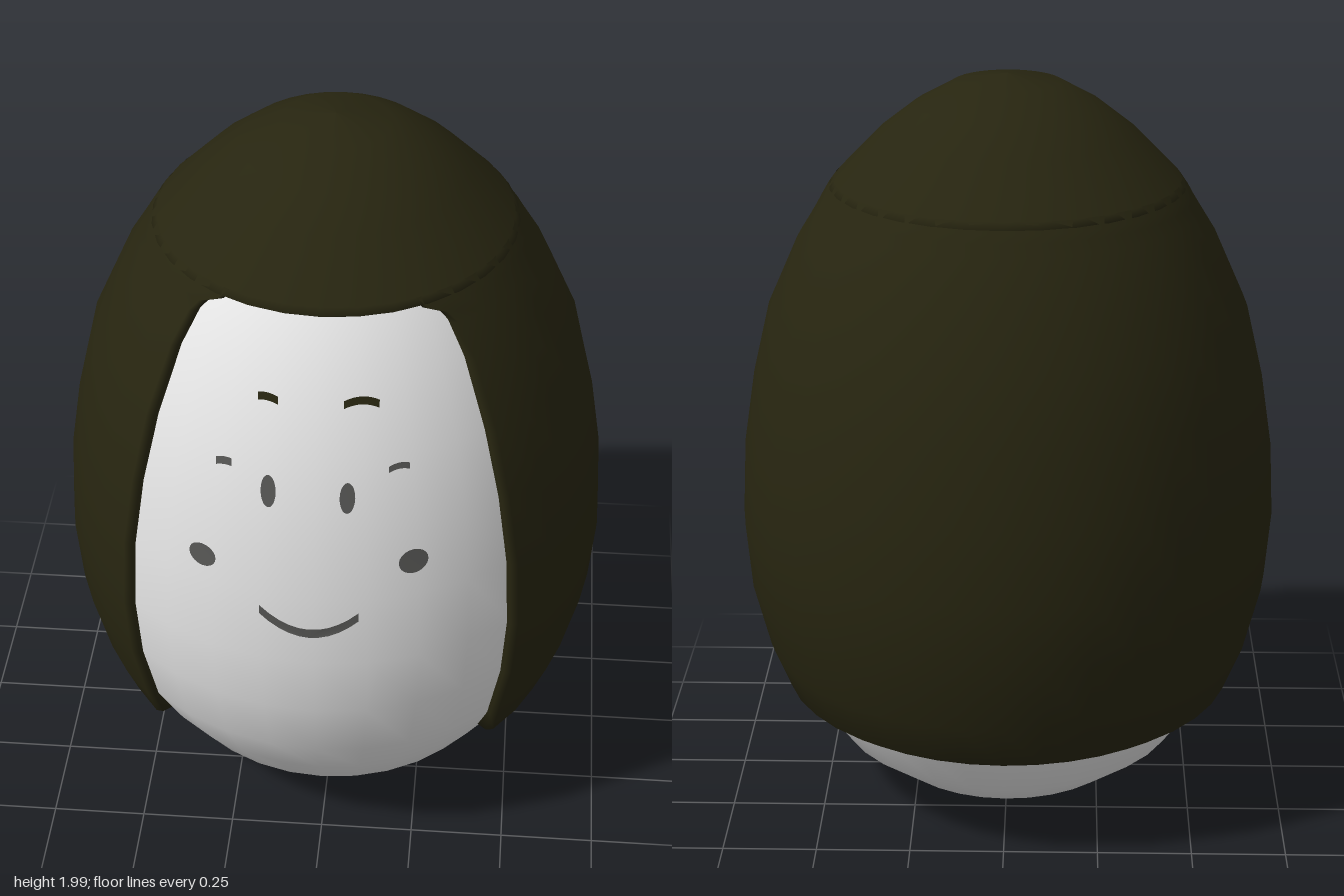
import * as THREE from 'three';

const SEG = 32;
const mat = (name, color, side = THREE.FrontSide) => {
  const m = new THREE.MeshStandardMaterial({ color, side });
  m.name = name;
  return m;
};

// [radius, height] profile of the egg body
const bodyProfile = [
  [0, 0.008], [0.175, 0.028], [0.33, 0.07], [0.465, 0.17], [0.555, 0.295], [0.637, 0.44],
  [0.682, 0.62], [0.697, 0.8], [0.687, 1.0], [0.658, 1.195], [0.61, 1.385], [0.532, 1.565],
  [0.432, 1.725], [0.31, 1.84], [0.16, 1.93], [0, 1.96],
];
// [radius, height] of the hair above the fringe
const capProfile = [
  [0.41, 1.705], [0.455, 1.7], [0.468, 1.71], [0.455, 1.727], [0.335, 1.85],
  [0.245, 1.92], [0.14, 1.978], [0, 2],
];
// [radius, height, opening angle] of the hair around the face
const sideRows = [
  [0.53, 0.302, 1.0], [0.575, 0.3, 0.99], [0.613, 0.325, 0.83], [0.66, 0.44, 0.775],
  [0.705, 0.62, 0.77], [0.72, 0.8, 0.77], [0.71, 1.0, 0.765], [0.68, 1.195, 0.75],
  [0.635, 1.385, 0.73], [0.555, 1.565, 0.715], [0.503, 1.65, 0.69], [0.486, 1.68, 0.65],
  [0.474, 1.7, 0.55], [0.455, 1.727, 0.5],
];

const lathe = (profile) =>
  new THREE.LatheGeometry(profile.map(([r, y]) => new THREE.Vector2(r, y)), SEG);

// Body radius at a height
function bodyRadius(y) {
  for (let i = 1; i < bodyProfile.length; i++) {
    const [r0, y0] = bodyProfile[i - 1], [r1, y1] = bodyProfile[i];
    if (y <= y1) return r0 + ((r1 - r0) * (y - y0)) / (y1 - y0);
  }
  return 0;
}

// Shell around the back and sides, with rolled edges beside the face
function sideHair() {
  const pos = [], index = [], cols = 28;
  for (const [r, y, a] of sideRows) {
    const loop = [[a, r - 0.06], [a, r - 0.012]];
    const start = a + 0.025, span = 2 * (Math.PI - start);
    for (let i = 0; i <= cols; i++) loop.push([start + (span * i) / cols, r]);
    loop.push([2 * Math.PI - a, r - 0.012], [2 * Math.PI - a, r - 0.06]);
    for (const [t, rad] of loop) pos.push(Math.sin(t) * rad, y, Math.cos(t) * rad);
  }
  const n = cols + 5;
  for (let j = 0; j < sideRows.length - 1; j++) {
    for (let i = 0; i < n - 1; i++) {
      const a = j * n + i, b = a + 1, c = b + n, d = a + n;
      index.push(a, b, d, c, d, b);
    }
  }
  const g = new THREE.BufferGeometry();
  g.setAttribute('position', new THREE.Float32BufferAttribute(pos, 3));
  g.setIndex(index);
  g.computeVertexNormals();
  return g;
}

// Lay a flat shape onto the front of the body
function onFace(shape) {
  const g = new THREE.ShapeGeometry(shape, 10), p = g.attributes.position;
  for (let i = 0; i < p.count; i++) {
    const x = p.getX(i), r = bodyRadius(p.getY(i));
    p.setZ(i, Math.sqrt(r * r - x * x) + 0.004);
  }
  g.computeVertexNormals();
  return g;
}

function ellipse(x, y, rx, ry) {
  const s = new THREE.Shape();
  s.absellipse(x, y, rx, ry, 0, Math.PI * 2);
  return s;
}

// Thin curved stroke between two points; bend lifts or drops its middle
function stroke(x0, y0, x1, y1, bend, w) {
  const s = new THREE.Shape(), mx = (x0 + x1) / 2, my = (y0 + y1) / 2 + bend * 2;
  s.moveTo(x0, y0 - w / 2);
  s.quadraticCurveTo(mx, my - w / 2, x1, y1 - w / 2);
  s.lineTo(x1, y1 + w / 2);
  s.quadraticCurveTo(mx, my + w / 2, x0, y0 + w / 2);
  s.closePath();
  return s;
}

export function createModel() {
  const group = new THREE.Group();
  group.name = 'eggFigure';
  const white = mat('shellWhite', 0xe6e6e6);
  const hair = mat('darkOliveHair', 0x272510, THREE.DoubleSide);
  const grey = mat('featureGrey', 0x565654, THREE.DoubleSide);
  const add = (name, geometry, material) => {
    const m = new THREE.Mesh(geometry, material);
    m.name = name;
    m.position.z = 0.008;
    group.add(m);
  };

  // Body and hair
  add('body', lathe(bodyProfile), white);
  add('hairCap', lathe(capProfile), hair);
  add('hairSides', sideHair(), hair);

  // Brows
  add('rightBrow', onFace(stroke(-0.145, 1.518, -0.095, 1.514, 0.004, 0.018)), hair);
  add('leftBrow', onFace(stroke(0.065, 1.514, 0.15, 1.512, 0.01, 0.018)), hair);

  // Lashes
  add('rightLash', onFace(stroke(-0.248, 1.342, -0.208, 1.348, 0.003, 0.02)), grey);
  add('leftLash', onFace(stroke(0.178, 1.355, 0.228, 1.358, 0.006, 0.016)), grey);

  // Eyes
  add('rightEye', onFace(ellipse(-0.115, 1.295, 0.019, 0.042)), grey);
  add('leftEye', onFace(ellipse(0.08, 1.29, 0.019, 0.04)), grey);

  // Cheeks
  add('rightCheek', onFace(ellipse(-0.285, 1.075, 0.035, 0.031)), grey);
  add('leftCheek', onFace(ellipse(0.245, 1.1, 0.036, 0.034)), grey);

  // Mouth
  add('mouth', onFace(stroke(-0.138, 0.958, 0.113, 0.952, -0.056, 0.026)), grey);

  return group;
}
